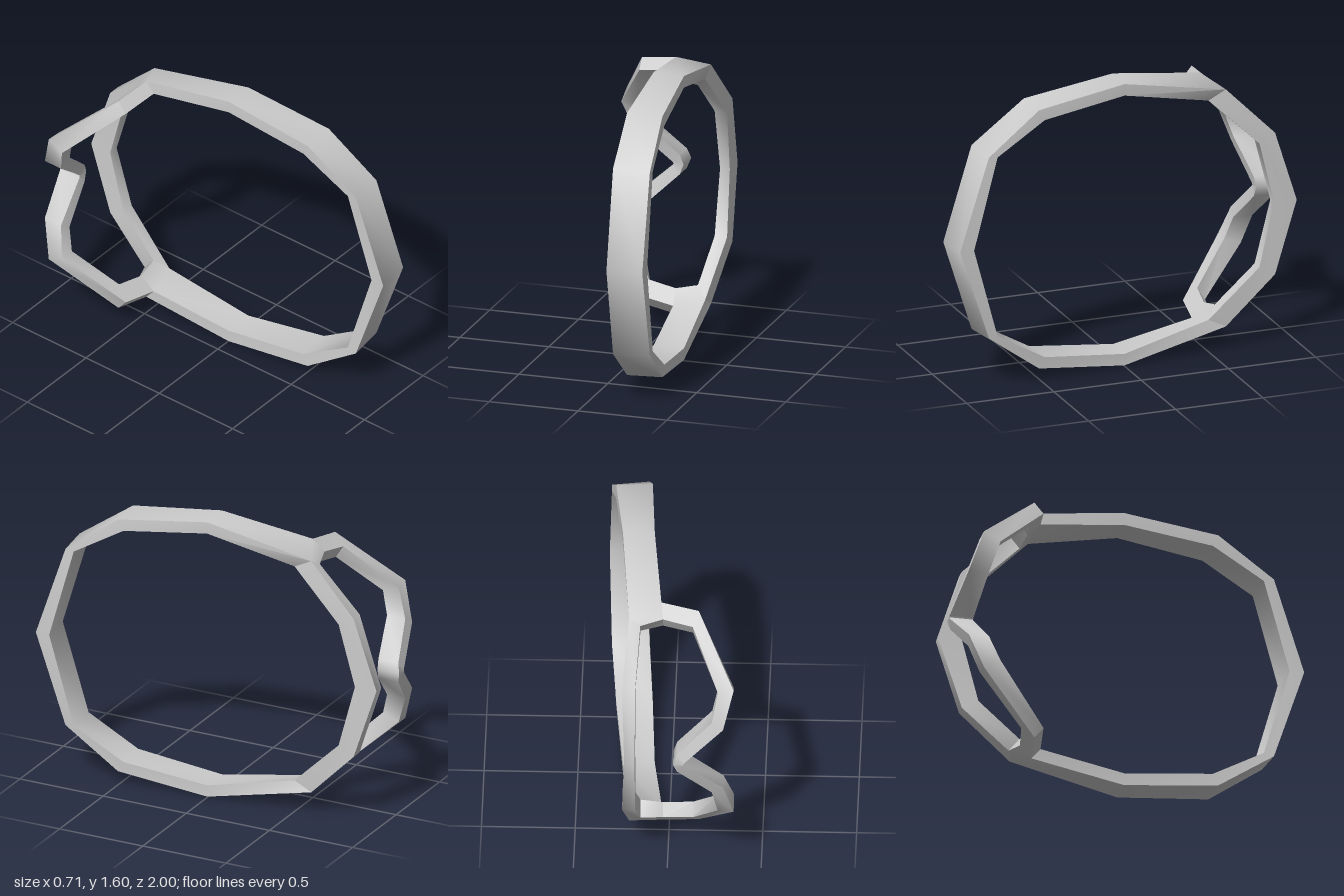
import * as THREE from 'three';
import { toCreasedNormals } from 'three/addons/utils/BufferGeometryUtils.js';

const MID = 0.8; // height of the mirror plane

// Each edge point is [x, outerY, outerZ, innerY, innerZ].
const mirror = ([x, oy, oz, iy, iz]) => [x, 2 * MID - oy, oz, 2 * MID - iy, iz];

// Solid band along pairs of edge points, from the top half to its mirrored bottom half.
// The last pair lies on the mirror plane.
function band(name, half, material) {
  const pairs = [...half, ...half.slice(0, -1).reverse().map((pair) => pair.map(mirror))];
  const pos = [];
  const quad = (a, b, c, d) => pos.push(...a, ...b, ...c, ...a, ...c, ...d);
  // Section corners: outer a, outer b, inner b, inner a
  const section = ([a, b]) => [
    [a[0], a[1], a[2]], [b[0], b[1], b[2]],
    [b[0], b[3], b[4]], [a[0], a[3], a[4]],
  ];
  const sections = pairs.map(section);
  for (let i = 0; i < sections.length - 1; i++) {
    const s = sections[i], t = sections[i + 1];
    for (let k = 0; k < 4; k++) {
      const n = (k + 1) % 4;
      quad(s[k], t[k], t[n], s[n]);
    }
  }
  // End caps
  const s = sections[0], e = sections[sections.length - 1];
  quad(s[0], s[1], s[2], s[3]);
  quad(e[3], e[2], e[1], e[0]);

  const geometry = new THREE.BufferGeometry();
  geometry.setAttribute('position', new THREE.Float32BufferAttribute(pos, 3));
  const mesh = new THREE.Mesh(toCreasedNormals(geometry, 0.9), material);
  mesh.name = name;
  return mesh;
}

export function createModel() {
  const group = new THREE.Group();
  group.name = 'goggleFrame';
  const material = new THREE.MeshStandardMaterial({ color: 0xcccccc, side: THREE.DoubleSide });

  // Corners of the joint where strap, brow rim and lens rim meet
  const strapLower = [0.04, 1.52, -0.52, 1.46, -0.47];
  const strapUpper = [0.21, 1.47, -0.60, 1.42, -0.50];
  const holeLower = [0.03, 1.455, -0.585, 1.385, -0.545];
  const holeUpper = [0.15, 1.435, -0.62, 1.36, -0.56];

  // Wide strap around the open side, including the joints
  group.add(band('strap', [
    [holeLower, holeUpper],
    [strapLower, strapUpper],
    [[0.09, 1.6, 0, 1.53, 0], [0.26, 1.595, 0, 1.53, 0]],
    [[0.115, 1.535, 0.52, 1.47, 0.49], [0.31, 1.53, 0.51, 1.47, 0.477]],
    [[0.14, 1.32, 0.83, 1.305, 0.775], [0.34, 1.31, 0.81, 1.305, 0.76]],
    [[0.16, MID, 1, MID, 0.92], [0.355, MID, 0.98, MID, 0.90]],
  ], material));

  // Narrow rim along the brow
  group.add(band('browRim', [
    [strapUpper, holeUpper],
    [[0.24, 1.2, -0.87, 1.15, -0.78], [0.17, 1.2, -0.87, 1.15, -0.78]],
    [[0.225, MID, -1, MID, -0.87], [0.17, MID, -1, MID, -0.87]],
  ], material));

  // Lens rim dipping under both eyes and rising over the nose
  group.add(band('lensRim', [
    [holeLower, strapLower],
    [[-0.13, 1.43, -0.615, 1.36, -0.57], [-0.16, 1.49, -0.55, 1.43, -0.50]],
    [[-0.27, 1.19, -0.875, 1.155, -0.78], [-0.355, 1.2, -0.87, 1.15, -0.78]],
    [[-0.24, 1.03, -0.93, 1.03, -0.82], [-0.30, 0.99, -0.94, 0.99, -0.83]],
    [[-0.055, 0.855, -0.985, 0.855, -0.865], [-0.095, 0.81, -0.998, 0.81, -0.868]],
    [[-0.035, MID, -1, MID, -0.87], [-0.09, MID, -1, MID, -0.87]],
  ], material));

  return group;
}
